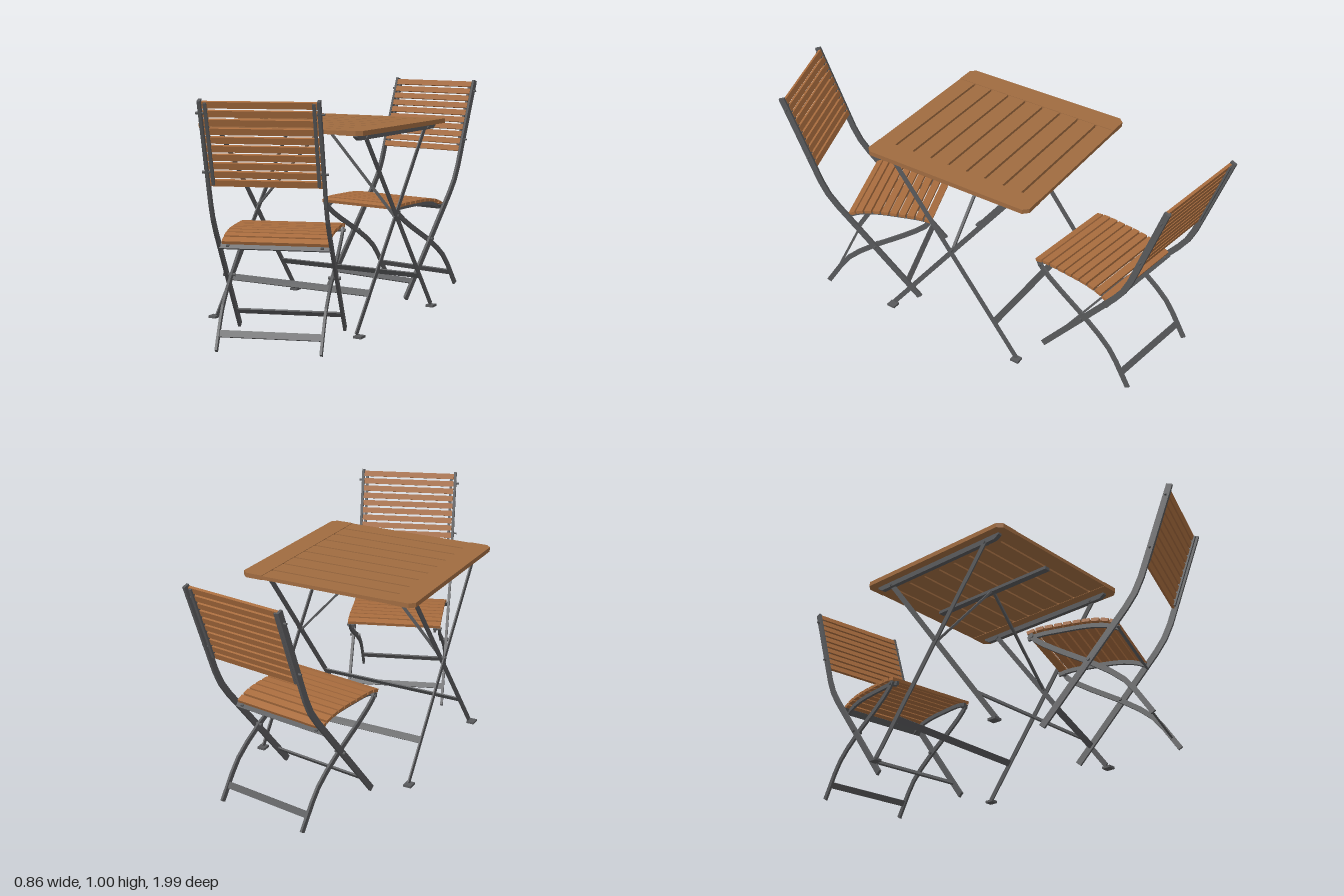
import * as THREE from 'three';

const mat = (name, color) => { const m = new THREE.MeshStandardMaterial({ color }); m.name = name; return m; };

export function createModel() {
  const tableWood = mat('tableWood', 0x9f6b40);
  const chairWood = mat('chairWood', 0xa86c3e);
  const metal = mat('greyMetal', 0x58595b);

  const add = (parent, name, geo, material, x = 0, y = 0, z = 0, rx = 0) => {
    const m = new THREE.Mesh(geo, material);
    m.name = name;
    m.position.set(x, y, z);
    m.rotation.x = rx;
    parent.add(m);
    return m;
  };
  const box = (w, h, d) => new THREE.BoxGeometry(w, h, d);

  // Flat bar following [z, y] points, of a given width, extruded across x
  const strap = (pts, width, thick) => {
    const a = [], b = [];
    pts.forEach((p, i) => {
      const q = pts[Math.max(i - 1, 0)], r = pts[Math.min(i + 1, pts.length - 1)];
      const dz = r[0] - q[0], dy = r[1] - q[1], l = Math.hypot(dz, dy);
      const nz = -dy / l * width / 2, ny = dz / l * width / 2;
      a.push(new THREE.Vector2(p[0] + nz, p[1] + ny));
      b.unshift(new THREE.Vector2(p[0] - nz, p[1] - ny));
    });
    const g = new THREE.ExtrudeGeometry(new THREE.Shape([...a, ...b]), { depth: thick, bevelEnabled: false });
    return g.translate(0, 0, -thick / 2).rotateY(-Math.PI / 2);
  };

  // Bolt lying along x
  const bolt = (parent, x, y, z, len = 0.03, r = 0.007) =>
    add(parent, 'bolt', new THREE.CylinderGeometry(r, r, len, 8).rotateZ(Math.PI / 2), metal, x, y, z);

  function makeTable() {
    const t = new THREE.Group();
    t.name = 'table';

    // Top: nine slats between two end boards with cut corners
    for (let i = 0; i < 9; i++)
      add(t, 'tableSlat', box(0.6, 0.016, 0.08), tableWood, 0, 0.843, (i - 4) * 0.09);
    const c = 0.022;
    const outline = [[0.3, -0.4], [0.4 - c, -0.4], [0.4, -0.4 + c], [0.4, 0.4 - c], [0.4 - c, 0.4], [0.3, 0.4]];
    for (const s of [1, -1]) {
      const pts = outline.map(([x, y]) => new THREE.Vector2(x * s, y));
      const g = new THREE.ExtrudeGeometry(new THREE.Shape(pts), { depth: 0.02, bevelEnabled: false });
      add(t, 'endBoard', g.rotateX(-Math.PI / 2), tableWood, 0, 0.833, 0);
    }

    // Under-top rails with tapered ends, and the centre bar
    for (const s of [1, -1]) {
      const rail = new THREE.Shape([[-0.36, 0.835], [-0.36, 0.825], [-0.335, 0.81], [0.335, 0.81], [0.36, 0.825], [0.36, 0.835]]
        .map(p => new THREE.Vector2(...p)));
      const g = new THREE.ExtrudeGeometry(rail, { depth: 0.02, bevelEnabled: false });
      add(t, 'sideRail', g.translate(0, 0, -0.01).rotateY(-Math.PI / 2), metal, s * 0.354, 0, 0);
    }
    add(t, 'centreBar', box(0.03, 0.014, 0.64), metal, 0, 0.828, 0);

    // Two crossing leg frames
    const tilt = Math.atan2(0.615, 0.8);
    for (const f of [1, -1]) {
      const lx = f > 0 ? 0.3605 : 0.3475;
      for (const s of [1, -1]) {
        add(t, 'tableLeg', strap([[f * 0.28, 0.815], [-f * 0.335, 0.012]], 0.022, 0.006), metal, s * lx, 0, 0);
        add(t, 'tableFoot', box(0.036, 0.01, 0.04), metal, s * 0.362, 0.005, -f * 0.335);
        bolt(t, s * 0.354, 0.818, f * 0.28);
      }
      add(t, 'tableStretcher', box(lx * 2, 0.03, 0.006), metal, 0, 0.1625, -f * 0.22, f * tilt);
    }

    // Pivots and diagonal braces
    for (const s of [1, -1]) {
      bolt(t, s * 0.354, 0.46, 0);
      const dx = -0.335, dy = 0.365;
      const brace = add(t, 'diagonalBrace', box(0.009, Math.hypot(dx, dy), 0.012), metal, s * 0.1775, 0.6425, 0);
      brace.rotation.z = s * Math.atan2(-dx, dy);
    }
    return t;
  }

  // Chair profile: z runs forward from the top of the backrest
  const longLeg = [[0, 0.995], [0.12, 0.65], [0.141, 0.59], [0.171, 0.525], [0.212, 0.465], [0.573, 0.01]];
  const shortLeg = [[0.127, 0.01], [0.195, 0.115], [0.235, 0.165], [0.29, 0.21], [0.375, 0.265],
    [0.5, 0.335], [0.565, 0.375], [0.605, 0.405], [0.625, 0.432]];
  const seatCurve = new THREE.CatmullRomCurve3([[0.25, 0.415], [0.3, 0.436], [0.37, 0.448], [0.5, 0.45], [0.59, 0.447], [0.64, 0.436]]
    .map(([z, y]) => new THREE.Vector3(0, y, z)));

  function makeChair(name, x, z, angle) {
    const c = new THREE.Group();
    c.name = name;
    c.position.set(x, 0, z);
    c.rotation.y = THREE.MathUtils.degToRad(angle);

    // Side frames
    const seatRail = seatCurve.getSpacedPoints(12).map(p => [p.z, p.y - 0.016]);
    for (const s of [1, -1]) {
      add(c, 'longLeg', strap(longLeg, 0.026, 0.012), metal, s * 0.226, 0, 0);
      add(c, 'shortLeg', strap(shortLeg, 0.022, 0.01), metal, s * 0.208, 0, 0);
      add(c, 'seatRail', strap(seatRail, 0.018, 0.012), metal, s * 0.19, 0, 0);
      add(c, 'backBatten', strap([[0.005, 0.985], [0.115, 0.665]], 0.014, 0.012), metal, s * 0.206, 0, 0);
      bolt(c, s * 0.217, 0.265, 0.372, 0.05);
      bolt(c, s * 0.2, 0.42, 0.615, 0.04);
      bolt(c, s * 0.23, 0.945, 0.018, 0.03, 0.005);
      bolt(c, s * 0.23, 0.715, 0.097, 0.03, 0.005);
    }

    // Cross bars
    add(c, 'seatRearBar', box(0.45, 0.03, 0.008), metal, 0, 0.405, 0.258, 0.65);
    add(c, 'frontStretcher', box(0.45, 0.025, 0.008), metal, 0, 0.083, 0.515, -0.67);
    add(c, 'rearStretcher', box(0.416, 0.028, 0.008), metal, 0, 0.07, 0.166, 0.57);

    // Curved seat of ten slats
    for (let i = 0; i < 10; i++) {
      const u = (i + 0.5) / 10, p = seatCurve.getPointAt(u), d = seatCurve.getTangentAt(u);
      add(c, 'seatSlat', box(0.43, 0.014, 0.032), chairWood, 0, p.y, p.z, -Math.atan2(d.y, d.z));
    }

    // Leaning backrest of ten slats
    for (let i = 0; i < 10; i++) {
      const y = 0.977 - i * 0.0338;
      add(c, 'backSlat', box(0.438, 0.026, 0.012), chairWood, 0, y, (0.995 - y) * 0.345 + 0.008, -0.333);
    }
    return c;
  }

  const model = new THREE.Group();
  model.name = 'gardenTableAndChairs';
  const table = makeTable();
  table.position.set(-0.03, 0, 0.025);
  model.add(table, makeChair('backChair', 0.035, -0.955, -8), makeChair('frontChair', 0.207, 0.902, 200));
  return model;
}
